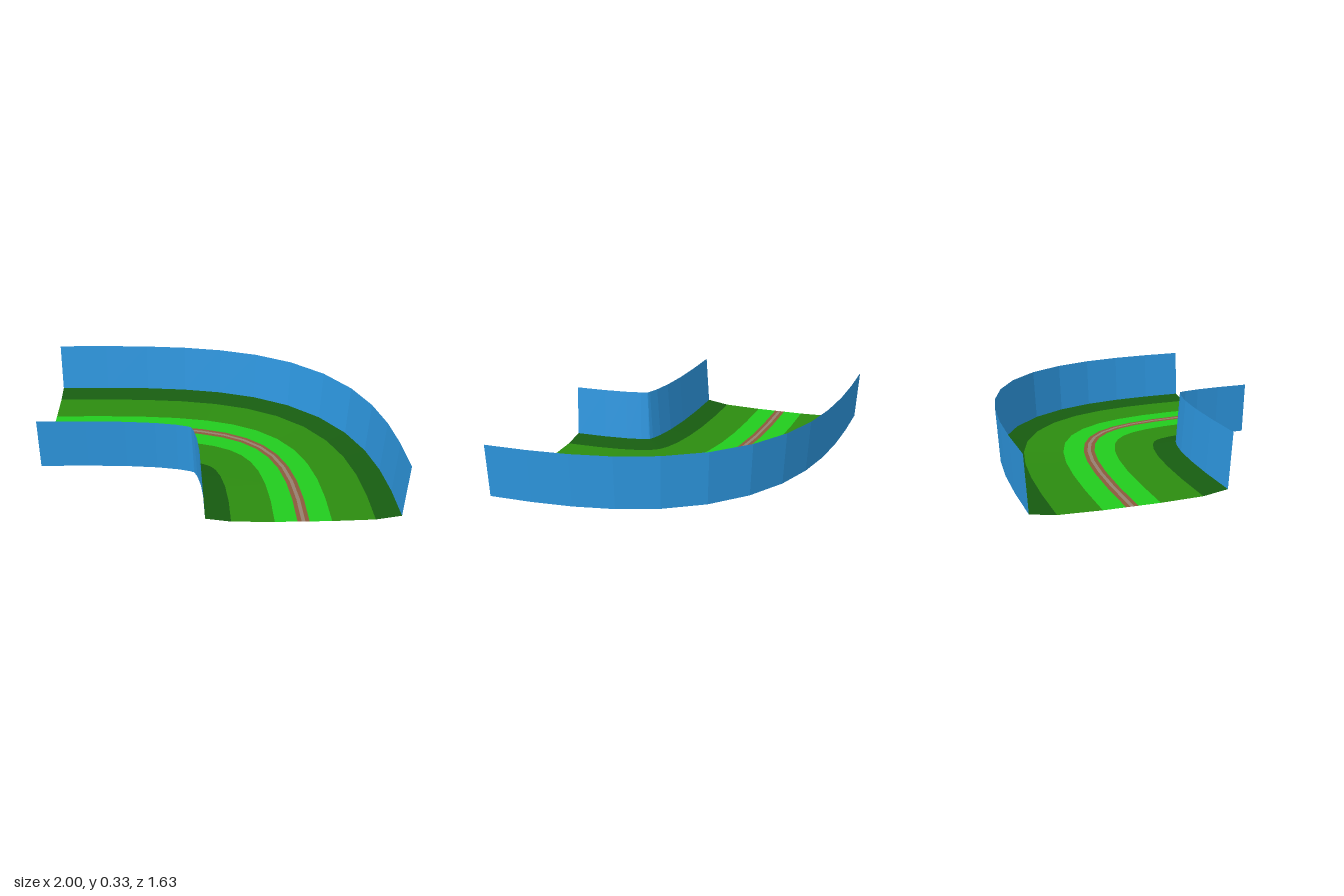
import * as THREE from 'three';

const SEGMENTS = 12;

// Centre line of the bend, drawn on the ground plane as (x, z)
const path = new THREE.CubicBezierCurve(
  new THREE.Vector2(-1, -0.273),
  new THREE.Vector2(0.24, -0.273),
  new THREE.Vector2(0.458, -0.11),
  new THREE.Vector2(0.458, 0.812)
);

// Point on the bend: t along it, d sideways towards the outside, y up
function bendPoint(t, d, y) {
  const p = path.getPoint(t);
  const dir = path.getTangent(t);
  return [p.x + dir.y * d, y, p.y - dir.x * d];
}

// Strip swept along the bend between two cross-section points [offset, height]
function strip(name, color, a, b) {
  const positions = [];
  const index = [];
  for (let i = 0; i <= SEGMENTS; i++) {
    const t = i / SEGMENTS;
    positions.push(...bendPoint(t, ...a), ...bendPoint(t, ...b));
    if (i < SEGMENTS) {
      const k = i * 2;
      index.push(k, k + 2, k + 3, k, k + 3, k + 1);
    }
  }
  const geometry = new THREE.BufferGeometry();
  geometry.setAttribute('position', new THREE.Float32BufferAttribute(positions, 3));
  geometry.setIndex(index);
  geometry.computeVertexNormals();
  const material = new THREE.MeshStandardMaterial({ color, flatShading: true, side: THREE.DoubleSide });
  const mesh = new THREE.Mesh(geometry, material);
  mesh.name = name;
  return mesh;
}

export function createModel() {
  const group = new THREE.Group();
  group.name = 'curvedTrackSection';

  // Dirt path with a thin gravel line along its middle
  group.add(strip('dirtPath', 0x8b5a3c, [-0.032, 0], [0.032, 0]));
  group.add(strip('gravelLine', 0x96806f, [-0.01, 0.001], [0.01, 0.001]));

  // Grass bands and side walls, from the path outwards
  const bands = [
    ['lightGrass', 0x22cc1e, [0.032, 0], [0.152, 0]],
    ['middleGrass', 0x2c8c10, [0.152, 0], [0.383, 0.006]],
    ['darkGrass', 0x175c10, [0.383, 0.006], [0.52, 0.027]],
    ['wall', 0x2d97e0, [0.52, 0.027], [0.54, 0.328]]
  ];
  for (const [name, color, a, b] of bands) {
    group.add(strip(name + 'Outer', color, a, b));
    group.add(strip(name + 'Inner', color, [-b[0], b[1]], [-a[0], a[1]]));
  }
  return group;
}
